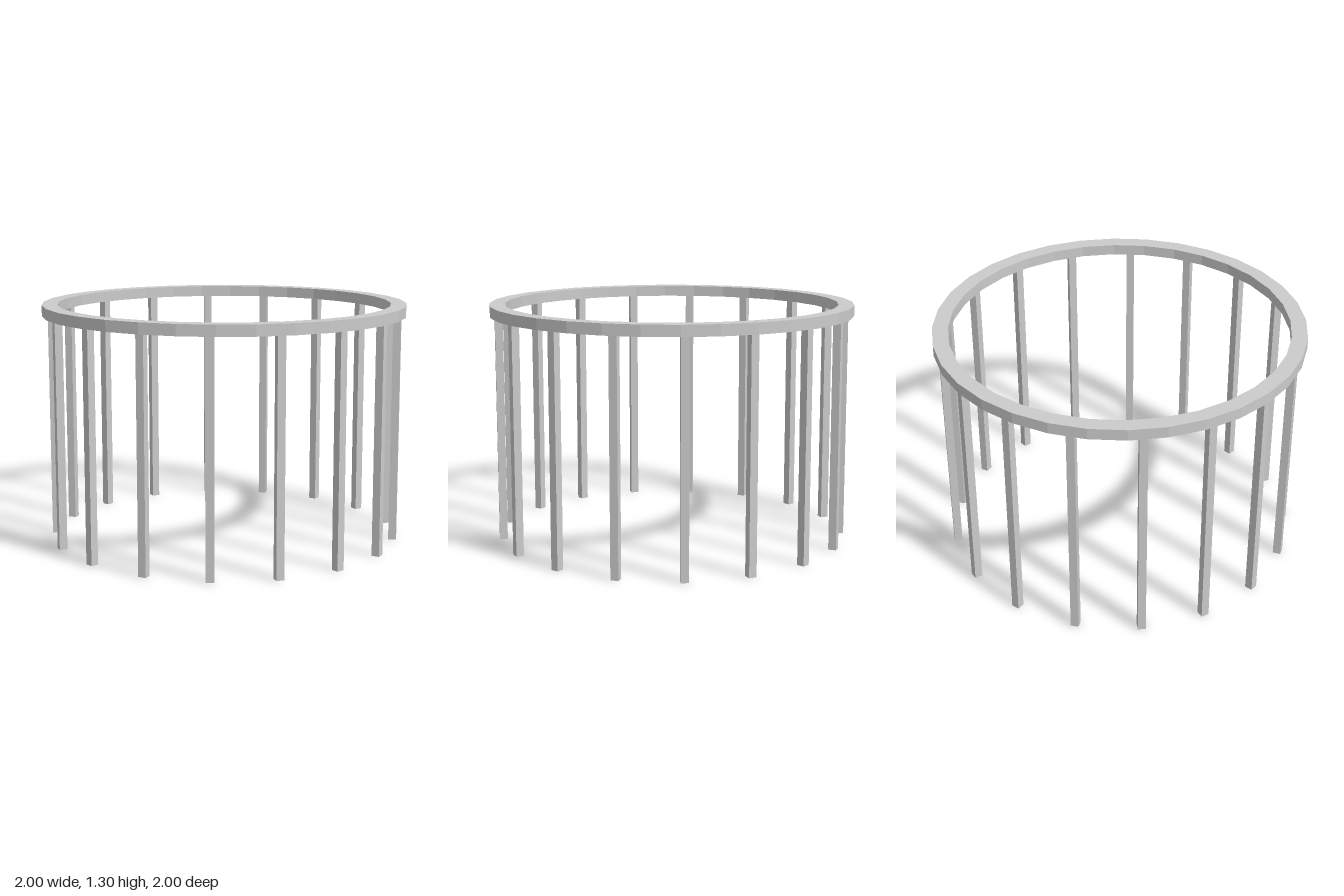
import * as THREE from 'three';

export function createModel() {
  const model = new THREE.Group();
  const material = new THREE.MeshStandardMaterial({ color: 0xcccccc, flatShading: true });

  const inner = 0.915, outer = 1, bottom = 1.245, top = 1.305;

  // Faceted top ring with a rectangular section
  const section = [
    [inner, bottom], [outer, bottom], [outer, top], [inner, top], [inner, bottom],
  ].map(([r, y]) => new THREE.Vector2(r, y));
  const ring = new THREE.Mesh(new THREE.LatheGeometry(section, 32), material);
  ring.name = 'topRing';
  model.add(ring);

  // Square posts spaced evenly under the ring, each facing the centre
  const postCount = 17, postRadius = 0.95, postSize = 0.043;
  const postGeometry = new THREE.BoxGeometry(postSize, bottom, postSize);
  const posts = new THREE.Group();
  posts.name = 'posts';
  for (let i = 0; i < postCount; i++) {
    const angle = (i / postCount) * Math.PI * 2;
    const post = new THREE.Mesh(postGeometry, material);
    post.name = `post${i + 1}`;
    post.position.set(Math.cos(angle) * postRadius, bottom / 2, Math.sin(angle) * postRadius);
    post.rotation.y = -angle;
    posts.add(post);
  }
  model.add(posts);

  return model;
}
